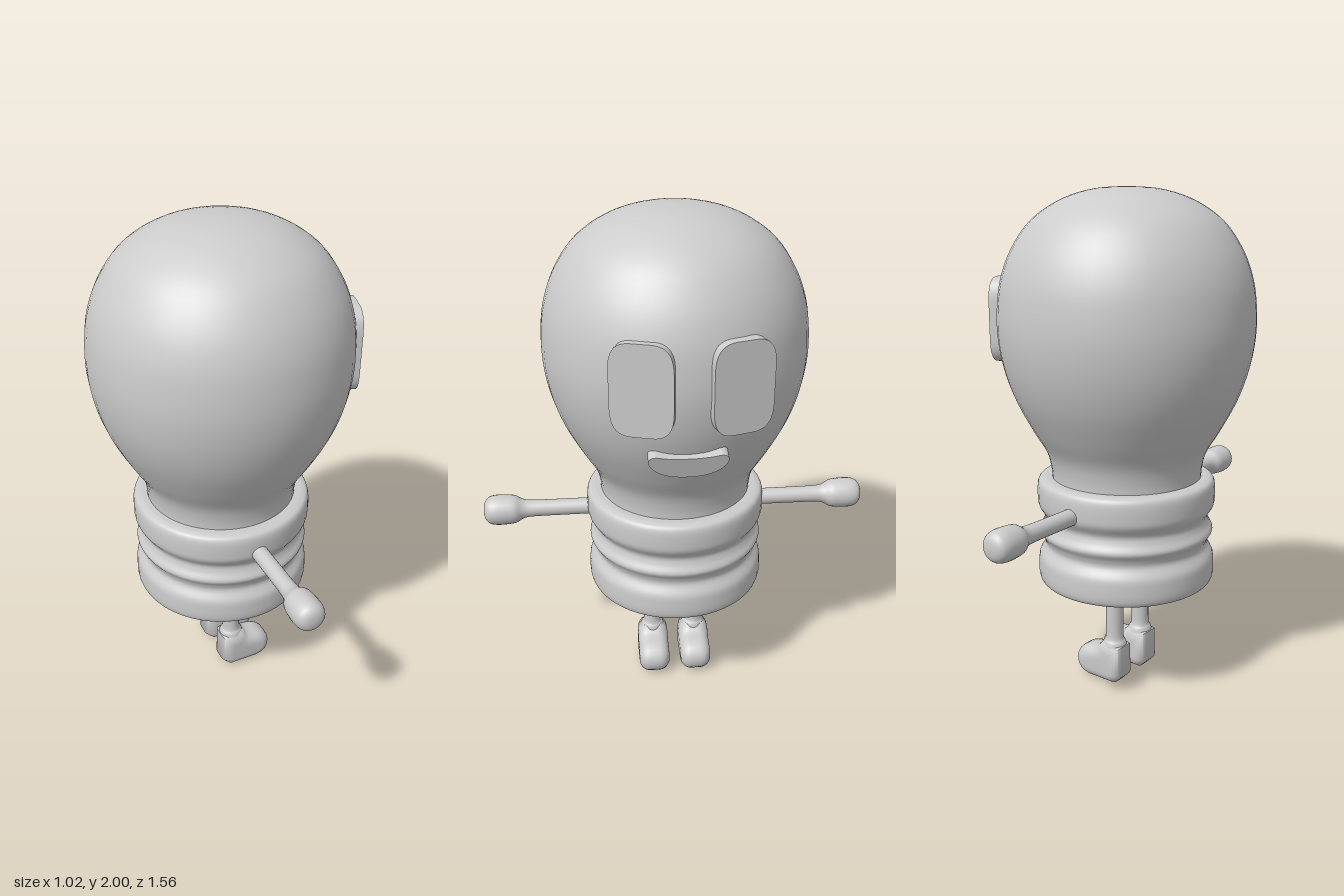
import * as THREE from 'three';
import { toCreasedNormals } from 'three/addons/utils/BufferGeometryUtils.js';

const material = new THREE.MeshStandardMaterial({ color: 0xcccccc });
const AXIS = -0.006; // x of the body axis

function add(parent, name, geometry, x = 0, y = 0, z = 0) {
  const mesh = new THREE.Mesh(geometry, material);
  mesh.name = name;
  mesh.position.set(x, y, z);
  parent.add(mesh);
  return mesh;
}

// Smooth lathe through [radius, height] points, listed from bottom to top
function turned(points, steps, segments) {
  const curve = new THREE.SplineCurve(points.map(([r, y]) => new THREE.Vector2(r, y)));
  const profile = curve.getPoints(steps);
  profile.forEach((p) => { p.x = Math.max(p.x, 0); });
  return new THREE.LatheGeometry(profile, segments);
}

// Flat plate with a sharp rim, its outer face at z = 0
function plate(shape, depth) {
  const g = new THREE.ExtrudeGeometry(shape, { depth, bevelEnabled: false, curveSegments: 10 });
  g.translate(0, 0, -depth);
  return toCreasedNormals(g, 0.7);
}

function eyeShape(w, h) {
  const s = new THREE.Shape();
  const k = 0.035; // short straight run on the top and bottom
  const m = 0.07; // half of the straight run on the sides
  s.moveTo(k, -h);
  s.bezierCurveTo(w * 0.8, -h, w, -h * 0.8, w, -m);
  s.lineTo(w, m);
  s.bezierCurveTo(w, h * 0.8, w * 0.8, h, k, h);
  s.lineTo(-k, h);
  s.bezierCurveTo(-w * 0.8, h, -w, h * 0.8, -w, m);
  s.lineTo(-w, -m);
  s.bezierCurveTo(-w, -h * 0.8, -w * 0.8, -h, -k, -h);
  return s;
}

function mouthShape() {
  const s = new THREE.Shape();
  s.moveTo(0, -0.052);
  s.bezierCurveTo(0.07, -0.052, 0.12, -0.03, 0.139, 0.015);
  s.bezierCurveTo(0.147, 0.038, 0.135, 0.053, 0.11, 0.05);
  s.bezierCurveTo(0.06, 0.034, -0.06, 0.034, -0.11, 0.05);
  s.bezierCurveTo(-0.135, 0.053, -0.147, 0.038, -0.139, 0.015);
  s.bezierCurveTo(-0.12, -0.03, -0.07, -0.052, 0, -0.052);
  return s;
}

// Rounded boot: side outline swollen by a bevel
function footGeometry() {
  const b = 0.045;
  const s = new THREE.Shape();
  s.moveTo(-0.012, 0.05);
  s.lineTo(0.09, 0.05);
  s.quadraticCurveTo(0.12, 0.052, 0.12, 0.075);
  s.quadraticCurveTo(0.12, 0.095, 0.085, 0.1);
  s.quadraticCurveTo(0.03, 0.108, 0.012, 0.135);
  s.lineTo(-0.014, 0.13);
  s.lineTo(-0.016, 0.054);
  const g = new THREE.ExtrudeGeometry(s, {
    depth: 0.04, bevelSize: b, bevelThickness: b, bevelSegments: 6, curveSegments: 6,
  });
  g.translate(0, -0.004, -0.02);
  return toCreasedNormals(g, 1.2);
}

export function createModel() {
  const model = new THREE.Group();
  model.name = 'bulbFigure';

  // Glass bulb head
  add(model, 'bulbHead', turned([
    [0.3, 0.86], [0.303, 0.92], [0.322, 0.99], [0.375, 1.08], [0.437, 1.2],
    [0.478, 1.32], [0.498, 1.44], [0.498, 1.55], [0.482, 1.66], [0.44, 1.77],
    [0.365, 1.875], [0.255, 1.95], [0.13, 1.99], [0, 2],
  ], 56, 48), AXIS - 0.002);

  // Ribbed screw socket, closed above and below
  const socket = turned([
    [0.325, 0.445], [0.348, 0.452], [0.358, 0.475], [0.359, 0.52], [0.354, 0.56],
    [0.331, 0.6], [0.336, 0.63], [0.352, 0.662], [0.336, 0.695], [0.331, 0.725],
    [0.354, 0.765], [0.359, 0.8], [0.358, 0.85], [0.348, 0.874], [0.325, 0.882],
  ], 70, 48);
  add(model, 'socket', socket, AXIS);
  const bottom = add(model, 'socketBottom', new THREE.CircleGeometry(0.326, 48), AXIS, 0.445);
  bottom.rotation.x = Math.PI / 2;
  const top = add(model, 'socketTop', new THREE.CircleGeometry(0.326, 48), AXIS, 0.882);
  top.rotation.x = -Math.PI / 2;

  // Arms ending in round mitts, pointing straight out to both sides
  const arm = turned([
    [0.033, 0.3], [0.033, 0.45], [0.034, 0.58], [0.04, 0.62], [0.056, 0.65],
    [0.061, 0.69], [0.061, 0.73], [0.053, 0.758], [0.032, 0.774], [0, 0.779],
  ], 40, 24);
  for (const side of [1, -1]) {
    const mesh = add(model, side > 0 ? 'armFront' : 'armBack', arm, AXIS, side > 0 ? 0.785 : 0.79, 0);
    mesh.rotation.x = side * Math.PI / 2;
  }

  // Legs widening at the ankle, and boots
  const leg = turned([
    [0.046, 0.1], [0.052, 0.15], [0.047, 0.175], [0.037, 0.2], [0.036, 0.3], [0.036, 0.46],
  ], 24, 20);
  const foot = footGeometry();
  for (const z of [0.1, -0.079]) {
    const limb = new THREE.Group();
    limb.name = z > 0 ? 'legFront' : 'legBack';
    limb.position.z = z;
    add(limb, 'shin', leg, -0.005);
    add(limb, 'foot', foot);
    model.add(limb);
  }

  // Face plates on the +x side
  const eye = plate(eyeShape(0.112, 0.168), 0.045);
  for (const side of [1, -1]) {
    const mesh = add(model, side > 0 ? 'eyeFront' : 'eyeBack', eye, 0.474, 1.494, -0.017 + side * 0.174);
    mesh.rotation.y = Math.PI / 2 - side * 0.3;
  }
  const mouth = add(model, 'mouth', plate(mouthShape(), 0.045), 0.455, 1.197, -0.005);
  mouth.rotation.set(0.3, Math.PI / 2, 0, 'YXZ');

  return model;
}
